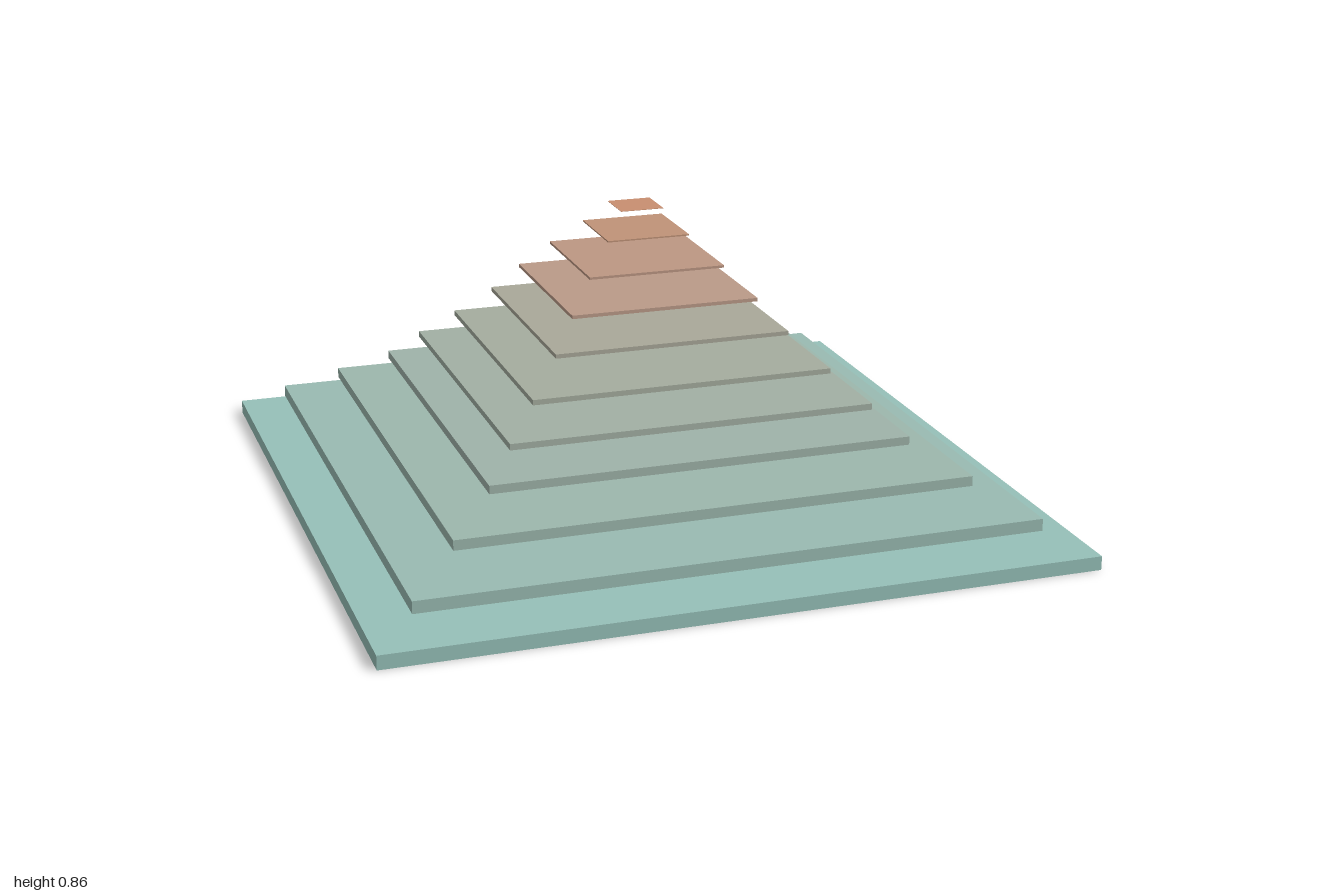
import * as THREE from 'three';

// Each tier: [half width, bottom height, thickness, colour]
const TIERS = [
  [1.0, 0, 0.04, 0x96c0b8],
  [0.88, 0.083, 0.035, 0x99bbb2],
  [0.735, 0.178, 0.029, 0x9cb7ad],
  [0.602, 0.268, 0.024, 0x9fb3a9],
  [0.522, 0.353, 0.018, 0xa2b0a4],
  [0.432, 0.44, 0.015, 0xa5ad9f],
  [0.34, 0.534, 0.012, 0xa9a899],
  [0.272, 0.62, 0.01, 0xbb9a88],
  [0.198, 0.705, 0.007, 0xbd9783],
  [0.12, 0.785, 0.004, 0xc09378],
  [0.063, 0.855, 0.001, 0xc88f70],
];

export function createModel() {
  const group = new THREE.Group();
  group.name = 'floatingStepPyramid';

  // Square slabs that hover above each other, thinning towards the top
  TIERS.forEach(([half, bottom, thickness, color], i) => {
    const slab = new THREE.Mesh(
      new THREE.BoxGeometry(2 * half, thickness, 2 * half),
      new THREE.MeshStandardMaterial({ color })
    );
    slab.name = i === 0 ? 'baseSlab' : i === TIERS.length - 1 ? 'capSlab' : `tierSlab${i}`;
    slab.position.y = bottom + thickness / 2;
    group.add(slab);
  });
  return group;
}
